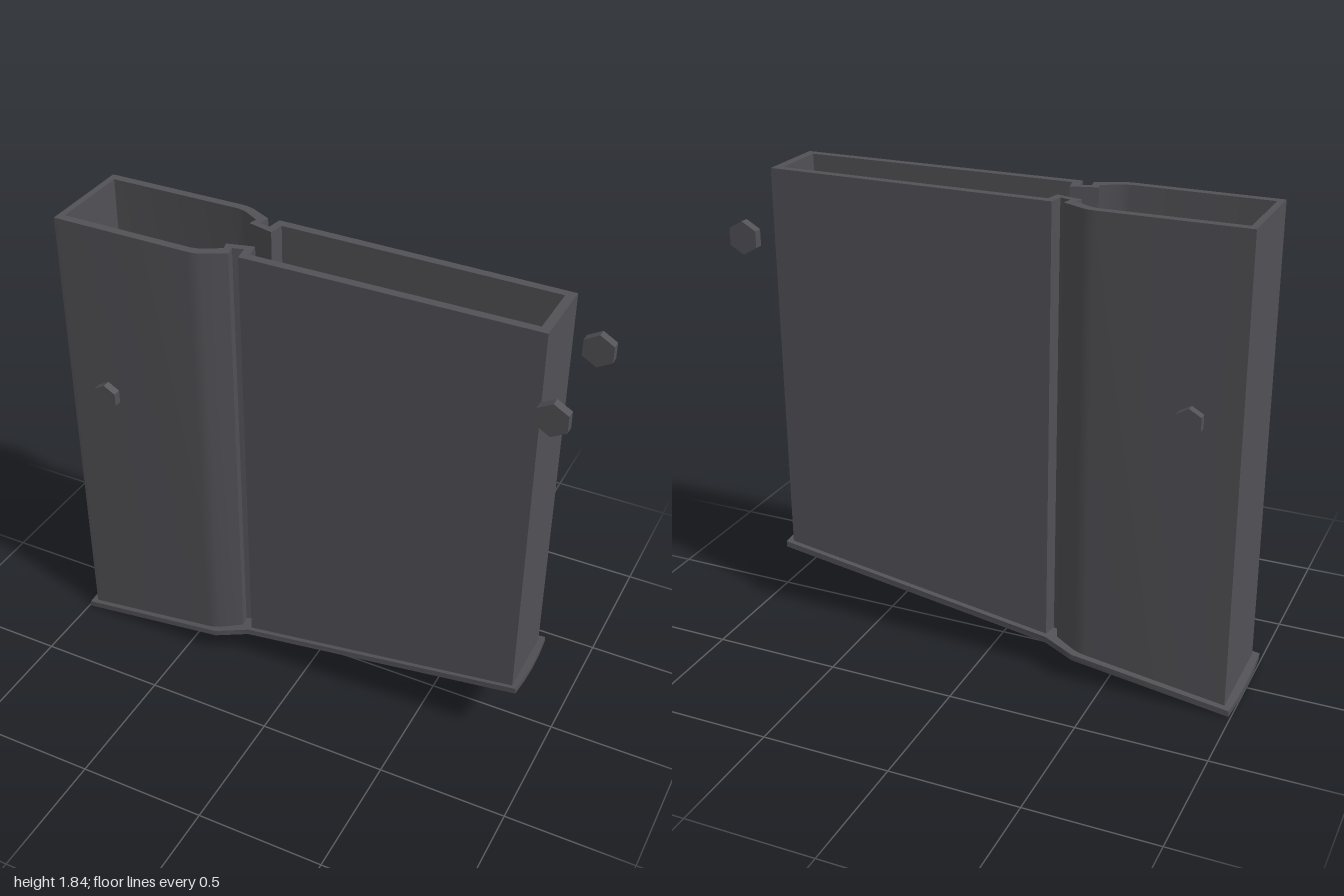
import * as THREE from 'three';
import { toCreasedNormals } from 'three/addons/utils/BufferGeometryUtils.js';

const TOP = 1.841, PLATE = 0.024;
const slope = (x) => 0.003 + 0.145 * (x + 1); // underside of the tilted floor plate

// closed counter-clockwise outline from one side (left to right), mirrored to the other
function outline(half, cz = 0, PathType = THREE.Shape) {
  const front = half.map(([x, z]) => new THREE.Vector2(x, -z - cz));
  const back = half.slice().reverse().filter(([, z]) => z > 0).map(([x, z]) => new THREE.Vector2(x, z - cz));
  return new PathType([...front, ...back]);
}

// upright extrusion whose lower and upper rims follow rules of x
function prism(shape, low, high) {
  const g = new THREE.ExtrudeGeometry(shape, { depth: 1, bevelEnabled: false });
  g.rotateX(-Math.PI / 2);
  const p = g.attributes.position;
  for (let i = 0; i < p.count; i++) {
    const x = p.getX(i);
    p.setY(i, p.getY(i) < 0.5 ? low(x) : high(x));
  }
  g.computeVertexNormals();
  return toCreasedNormals(g, 0.4);
}

export function createModel() {
  const model = new THREE.Group();
  const steel = new THREE.MeshStandardMaterial({ color: 0x525156 });
  steel.name = 'dark steel';

  const add = (name, geometry) => {
    const mesh = new THREE.Mesh(geometry, steel);
    mesh.name = name;
    model.add(mesh);
    return mesh;
  };

  // hollow casing: wide rear, taper, folded groove, narrow front
  const casing = outline([
    [-0.968, 0.193], [-0.42, 0.196], [-0.395, 0.194], [-0.37, 0.187],
    [-0.285, 0.144], [-0.293, 0.103], [-0.252, 0.092], [-0.243, 0.15], [0.87, 0.141],
  ], 0.003);
  casing.holes.push(outline([
    [-0.943, 0.16], [-0.42, 0.163], [-0.385, 0.155],
    [-0.318, 0.116], [-0.328, 0.084], [-0.227, 0.058], [-0.216, 0.116], [0.836, 0.109],
  ], 0.003, THREE.Path));
  add('casing', prism(casing, (x) => slope(x) + PLATE * 0.9, () => TOP));

  // floor plate with a small overhang and slightly bowed ends
  const plate = outline([
    [-1, 0], [-0.998, 0.11], [-0.992, 0.215], [-0.375, 0.22],
    [-0.33, 0.202], [-0.25, 0.17], [0.89, 0.159], [0.897, 0.08], [0.9, 0],
  ]);
  add('floorPlate', prism(plate, slope, (x) => slope(x) + PLATE));

  // hexagonal bolt heads on both sides
  const bolts = [
    { name: 'lowerBolt', x: -0.79, y: 1.153, r: 0.052, z: 0.226, depth: 0.031 },
    { name: 'upperBolt', x: 0.942, y: 1.595, r: 0.064, z: 0.229, depth: 0.034 },
  ];
  for (const b of bolts) {
    for (const side of [1, -1]) {
      const g = toCreasedNormals(new THREE.CylinderGeometry(b.r, b.r, b.depth, 6).rotateX(Math.PI / 2), 0.4);
      add(b.name + (side > 0 ? 'Front' : 'Back'), g).position.set(b.x, b.y, side * b.z + 0.002);
    }
  }
  return model;
}
